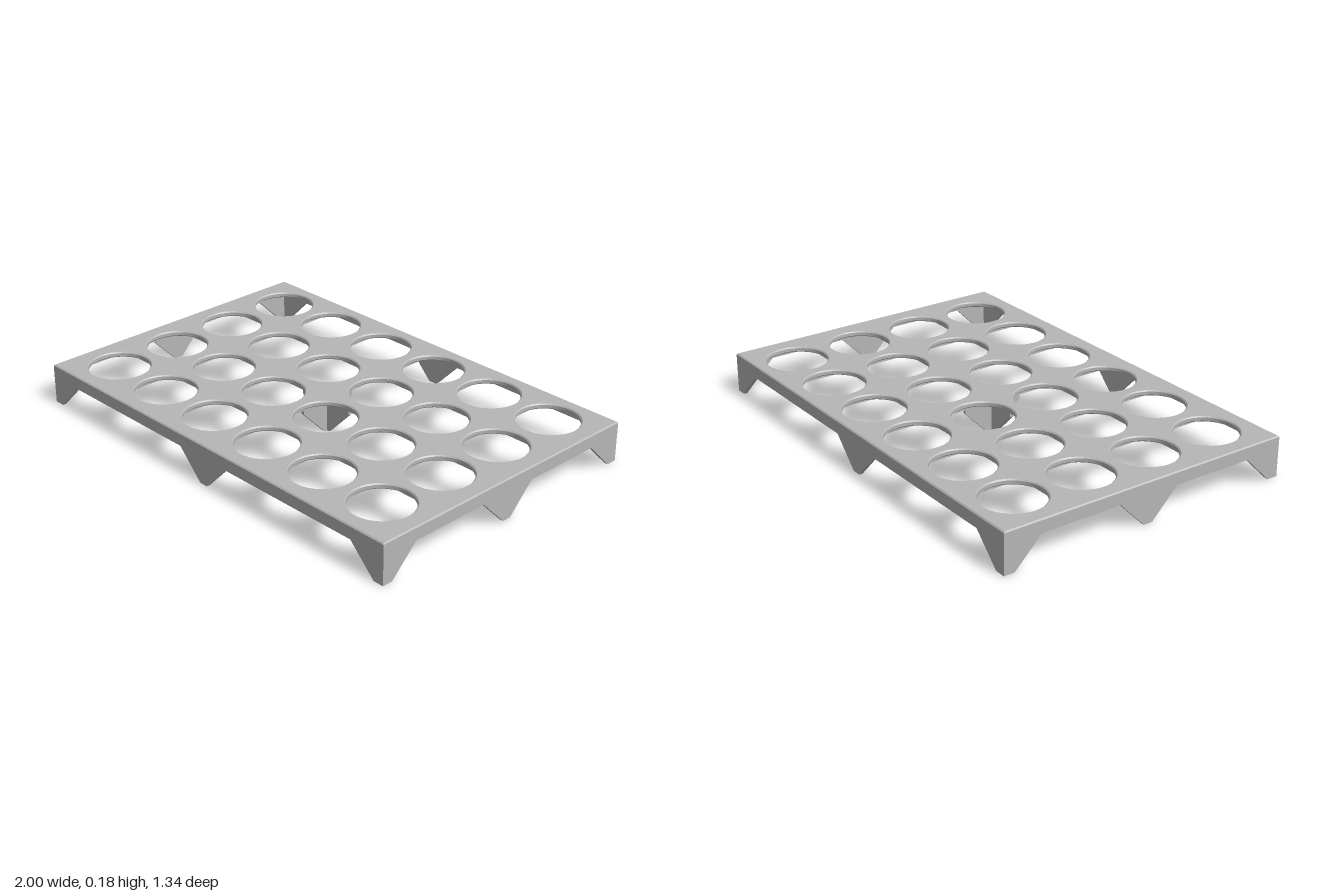
import * as THREE from 'three';
import { toCreasedNormals } from 'three/addons/utils/BufferGeometryUtils.js';

const HX = 1, HZ = 0.67, TOP = 0.178, BEVEL = 0.005;
const PLATE = 0.024, WALL = 0.016, ARCH = 0.12;
const PITCH = 0.3175, RADIUS = 0.133, OX = -0.003, OZ = -0.007;

export function createModel() {
  const model = new THREE.Group();
  const grey = new THREE.MeshStandardMaterial({ color: 0xb6b6b6 });
  grey.name = 'grey plastic';

  const add = (name, geometry, x = 0, y = 0, z = 0, turn = 0) => {
    const mesh = new THREE.Mesh(geometry, grey);
    mesh.name = name;
    mesh.position.set(x, y, z);
    mesh.rotation.y = turn;
    model.add(mesh);
  };
  const shapeOf = (points) => new THREE.Shape(points.map(([x, y]) => new THREE.Vector2(x, y)));
  const slab = (points, depth) => new THREE.ExtrudeGeometry(shapeOf(points), { depth, bevelEnabled: false })
    .translate(0, 0, -depth / 2);

  // Perforated top plate with softened edges
  const plate = shapeOf([[-HX, -HZ], [HX, -HZ], [HX, HZ], [-HX, HZ]]);
  for (let i = 0; i < 6; i++) {
    for (let j = 0; j < 4; j++) {
      const hole = new THREE.Path();
      hole.absarc(OX + (i - 2.5) * PITCH, -OZ + (j - 1.5) * PITCH, RADIUS, 0, Math.PI * 2, true);
      plate.holes.push(hole);
    }
  }
  const plateGeometry = new THREE.ExtrudeGeometry(plate, {
    depth: PLATE - 2 * BEVEL, curveSegments: 48, bevelThickness: BEVEL,
    bevelSize: BEVEL, bevelOffset: -BEVEL, bevelSegments: 1,
  });
  plateGeometry.rotateX(-Math.PI / 2);
  add('topPlate', toCreasedNormals(plateGeometry, 0.5), 0, TOP - PLATE + BEVEL, 0);

  // Skirt walls: two arches between three feet
  const skirt = (half) => {
    const right = [[0.02, 0], [0.138, ARCH], [half - 0.168, ARCH], [half - 0.047, 0], [half, 0], [half, TOP - BEVEL]];
    const left = right.map(([x, y]) => [-x, y]).reverse();
    return slab([...left, ...right], WALL);
  };
  for (const side of [-1, 1]) {
    add(side > 0 ? 'frontSkirt' : 'backSkirt', skirt(HX), 0, 0, side * (HZ - WALL / 2));
    add(side > 0 ? 'leftSkirt' : 'rightSkirt', skirt(HZ), side * (HX - WALL / 2), 0, 0, Math.PI / 2);
  }

  // Stiffening ribs under the plate, between the holes
  const ribHeight = 0.018, ribY = TOP - PLATE - ribHeight / 2 + 0.002;
  for (let i = -2; i <= 2; i++) {
    add('crossRib', new THREE.BoxGeometry(0.016, ribHeight, 2 * HZ - WALL), OX + i * PITCH, ribY, 0);
  }
  for (let j = -1; j <= 1; j++) {
    add('longRib', new THREE.BoxGeometry(2 * HX - WALL, ribHeight, 0.016), 0, ribY, OZ + j * PITCH);
  }

  // Centre foot: two crossed fins
  const fin = slab([[-0.02, 0], [0.02, 0], [0.138, ARCH], [0.138, TOP - 0.02],
    [-0.138, TOP - 0.02], [-0.138, ARCH]], WALL);
  add('centreFootFin', fin, OX, 0, OZ);
  add('centreFootFin', fin, OX, 0, OZ, Math.PI / 2);

  return model;
}
